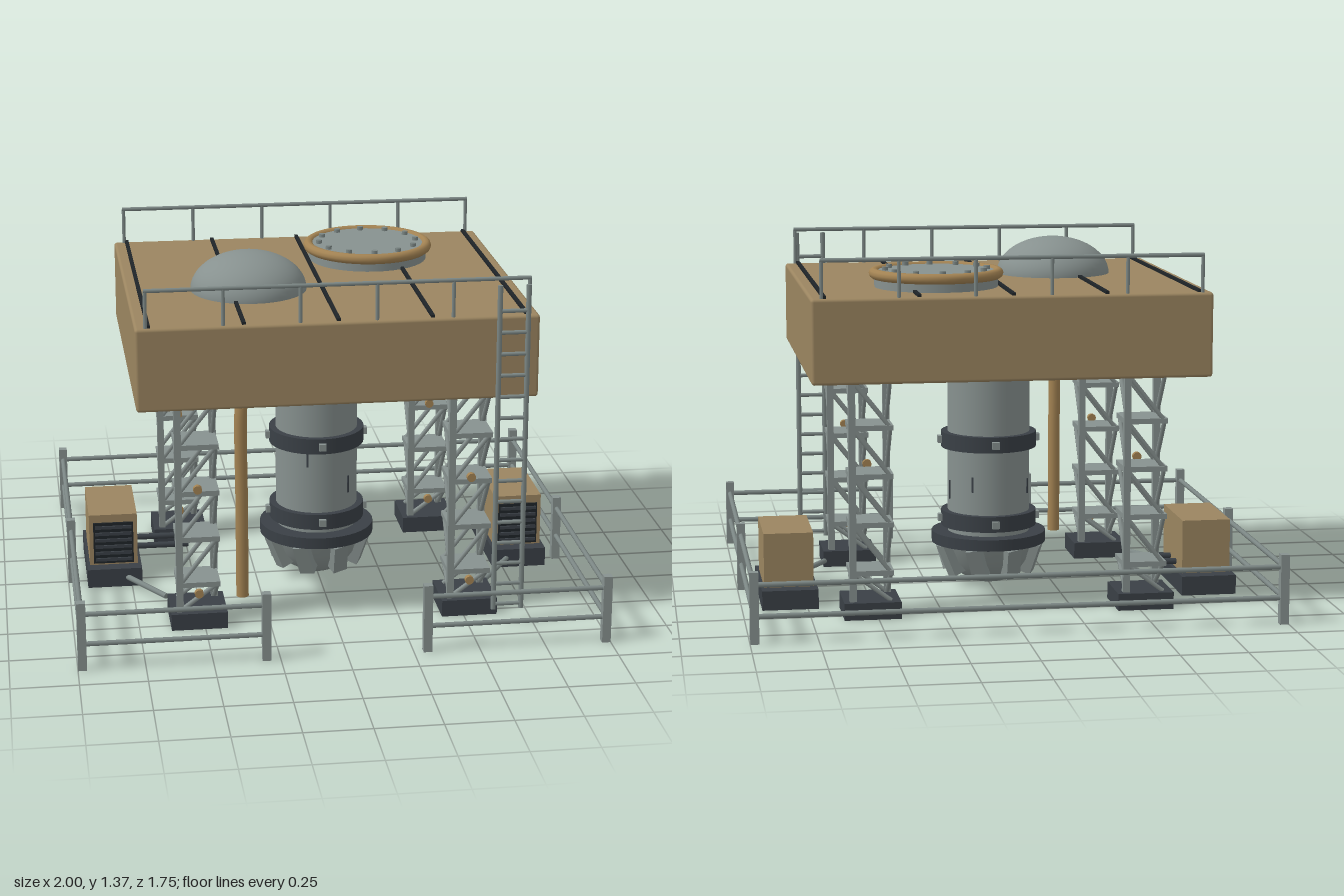
import * as THREE from 'three';
import { RoundedBoxGeometry } from 'three/addons/geometries/RoundedBoxGeometry.js';

const mat = (name, color) => {
  const m = new THREE.MeshStandardMaterial({ color });
  m.name = name;
  return m;
};

export function createModel() {
  const tan = mat('tanPaint', 0x9b8560);
  const ochre = mat('ochrePipe', 0xa38353);
  const steel = mat('steelGrey', 0x87918f);
  const rail = mat('railGrey', 0x7c8785);
  const slate = mat('slateDark', 0x3a4046);
  const black = mat('seamBlack', 0x1f2428);

  const root = new THREE.Group();
  root.name = 'drillingPlatform';
  const CZ = -0.0125; // depth centre of deck, towers and drill

  const group = (name, parent = root) => {
    const g = new THREE.Group();
    g.name = name;
    parent.add(g);
    return g;
  };
  const add = (parent, name, geo, m, x = 0, y = 0, z = 0) => {
    const mesh = new THREE.Mesh(geo, m);
    mesh.name = name;
    mesh.position.set(x, y, z);
    parent.add(mesh);
    return mesh;
  };
  const box = (p, name, m, w, h, d, x, y, z) => add(p, name, new THREE.BoxGeometry(w, h, d), m, x, y, z);
  const cyl = (p, name, m, r, y0, y1, x, z, seg = 32) =>
    add(p, name, new THREE.CylinderGeometry(r, r, y1 - y0, seg), m, x, (y0 + y1) / 2, z);
  // Round bar between two points
  const bar = (p, name, m, r, a, b, seg = 8) => {
    const va = new THREE.Vector3(...a), vb = new THREE.Vector3(...b);
    const dir = vb.clone().sub(va);
    const mesh = add(p, name, new THREE.CylinderGeometry(r, r, dir.length(), seg), m);
    mesh.position.copy(va).add(vb).multiplyScalar(0.5);
    mesh.quaternion.setFromUnitVectors(new THREE.Vector3(0, 1, 0), dir.normalize());
    return mesh;
  };

  // Deck with dark panel seams
  const deck = group('deck');
  add(deck, 'deckBody', new RoundedBoxGeometry(1.5, 0.318, 1.292, 2, 0.012), tan, 0, 1.063, CZ);
  for (let i = -2; i <= 2; i++) box(deck, 'deckSeam', black, 0.014, 0.012, 1.26, i * 0.35, 1.226, CZ);

  // Flattened dome
  const dome = add(deck, 'dome', new THREE.SphereGeometry(0.223, 40, 16, 0, Math.PI * 2, 0, Math.PI / 2), steel, -0.28, 1.222, 0.123);
  dome.scale.y = 0.65;

  // Round hatch with rim and bolts
  const hatch = group('hatch');
  hatch.position.set(0.243, 0, -0.288);
  cyl(hatch, 'hatchLid', steel, 0.235, 1.22, 1.284, 0, 0, 40);
  const rim = add(hatch, 'hatchRim', new THREE.TorusGeometry(0.236, 0.02, 10, 48), ochre, 0, 1.273, 0);
  rim.rotation.x = Math.PI / 2;
  for (let i = 0; i < 12; i++) {
    const a = (i / 12) * Math.PI * 2;
    cyl(hatch, 'hatchBolt', rail, 0.012, 1.28, 1.298, Math.cos(a) * 0.195, Math.sin(a) * 0.195, 8);
  }

  // Guard rails along front and back of the deck
  for (const z of [0.617, -0.642]) {
    const g = group('deckRail');
    bar(g, 'topRail', rail, 0.008, [-0.715, 1.362, z], [0.715, 1.362, z]);
    for (let i = 0; i < 6; i++) {
      const x = -0.71 + i * 0.284;
      bar(g, 'railPost', rail, 0.007, [x, 1.22, z], [x, 1.362, z]);
    }
  }

  // Access ladder
  const ladder = group('ladder');
  for (const x of [0.593, 0.7]) bar(ladder, 'ladderSide', rail, 0.01, [x, 0.065, 0.652], [x, 1.345, 0.652]);
  for (let i = 0; i < 15; i++) {
    const y = 0.085 + i * 0.083;
    bar(ladder, 'ladderRung', rail, 0.008, [0.593, y, 0.652], [0.7, y, 0.652]);
  }

  // Lattice support towers
  const T = 0.072;
  const levels = [0.065, 0.172, 0.356, 0.54, 0.724, 0.905];
  for (const sx of [-1, 1]) for (const sz of [-1, 1]) {
    const t = group('supportTower');
    t.position.set(sx * 0.522, 0, CZ + sz * 0.456);
    box(t, 'footPad', slate, 0.215, 0.065, 0.215, 0, 0.0325, 0);
    for (const s of [-1, 1]) {
      box(t, 'towerPost', steel, 0.026, 0.84, 0.026, s * T, 0.485, -s * T);
      for (let i = 0; i < 5; i++) {
        const a = levels[i], b = levels[i + 1];
        bar(t, 'crossBrace', steel, 0.009, [-T, a, s * T], [T, b, s * T], 6);
        bar(t, 'sideBrace', steel, 0.009, [s * T, a, -s * T], [s * T, b, s * T], 6);
      }
    }
    for (const y of levels.slice(1, 5)) box(t, 'towerPlate', steel, 0.165, 0.02, 0.165, 0, y, 0);
    for (const y of [0.14, 0.56])
      bar(t, 'towerFitting', ochre, 0.017, [0, y, 0.078], [0, y, 0.098], 12);
  }

  // Drain pipe bending into the deck
  const path = new THREE.CatmullRomCurve3([
    [-0.35, 0.1, 0.47], [-0.35, 0.5, 0.47], [-0.35, 0.84, 0.47], [-0.343, 0.885, 0.465], [-0.315, 0.91, 0.455],
  ].map(p => new THREE.Vector3(...p)));
  add(root, 'drainPipe', new THREE.TubeGeometry(path, 32, 0.024, 14), ochre);
  cyl(root, 'drainPipeEnd', ochre, 0.024, 0.098, 0.104, -0.35, 0.47, 14);

  // Central drill column
  const drill = group('drill');
  drill.position.z = CZ;
  cyl(drill, 'drillColumn', steel, 0.162, 0.19, 0.905, 0, 0, 40);
  cyl(drill, 'topFlange', slate, 0.214, 0.89, 0.906, 0, 0, 40);
  cyl(drill, 'headRing', slate, 0.226, 0.17, 0.215, 0, 0, 40);
  for (const y of [0.268, 0.583]) {
    cyl(drill, 'collar', slate, 0.188, y - 0.031, y + 0.031, 0, 0, 40);
    for (let i = 0; i < 4; i++) {
      const a = (i * Math.PI) / 2;
      const lug = box(drill, 'collarLug', steel, 0.028, 0.028, 0.03, Math.sin(a) * 0.188, y, Math.cos(a) * 0.188);
      lug.rotation.y = a;
    }
  }
  // Narrow slots in the column skin
  for (const [a, y, h] of [[-0.34, 0.52, 0.06], [0.75, 0.4, 0.07], [1.77, 0.385, 0.075], [2.6, 0.42, 0.06], [4.2, 0.4, 0.06]]) {
    const slot = box(drill, 'columnSlot', slate, 0.008, h, 0.008, Math.sin(a) * 0.161, y, Math.cos(a) * 0.161);
    slot.rotation.y = a;
  }
  // Cutting head with slanted teeth
  const profile = [[0, 0.015], [0.07, 0.015], [0.12, 0.045], [0.16, 0.1], [0.185, 0.172]];
  add(drill, 'cuttingHead', new THREE.LatheGeometry(profile.map(p => new THREE.Vector2(...p)), 32), steel);
  for (let i = 0; i < 8; i++) {
    const pivot = group('toothMount', drill);
    pivot.rotation.y = ((i + 0.5) / 8) * Math.PI * 2;
    const tooth = box(pivot, 'cutterTooth', steel, 0.06, 0.13, 0.06, 0, 0.115, 0.168);
    tooth.rotation.set(0.35, 0, 0.15);
  }

  // Equipment cabinets on skids either side
  for (const s of [-1, 1]) {
    const g = group(s > 0 ? 'leftCabinet' : 'rightCabinet');
    box(g, 'cabinetSkid', slate, 0.215, 0.075, 0.45, s * 0.817, 0.0375, -0.147);
    box(g, 'cabinetBody', tan, 0.19, 0.21, 0.335, s * 0.818, 0.18, -0.144);
    box(g, 'grillePanel', black, 0.158, 0.17, 0.008, s * 0.818, 0.168, 0.027);
    for (let i = 0; i < 6; i++)
      box(g, 'grilleSlat', slate, 0.145, 0.012, 0.012, s * 0.818, 0.1 + i * 0.027, 0.032);
    bar(g, 'groundPipe', rail, 0.011, [s * 0.78, 0.036, 0.05], [s * 0.63, 0.036, 0.29], 10);
  }
  for (const z of [-0.1, -0.2])
    bar(root, 'cabinetFeed', slate, 0.012, [-0.73, 0.1, z], [-0.51, 0.1, z], 10);

  // Perimeter fence, open at the front
  const fence = group('fence');
  const X = 0.983, Z = 0.861;
  const posts = [[-0.302, Z], [-X, Z], [-X, 0], [-X, -Z], [X, -Z], [X, 0], [X, Z], [0.302, Z]];
  posts.forEach(([x, z], i) => {
    box(fence, 'fencePost', steel, 0.033, 0.265, 0.033, x, 0.1325, z);
    if (i === 0) return;
    const [px, pz] = posts[i - 1];
    for (const y of [0.1, 0.217]) bar(fence, 'fenceRail', rail, 0.01, [px, y, pz], [x, y, z]);
  });

  return root;
}
